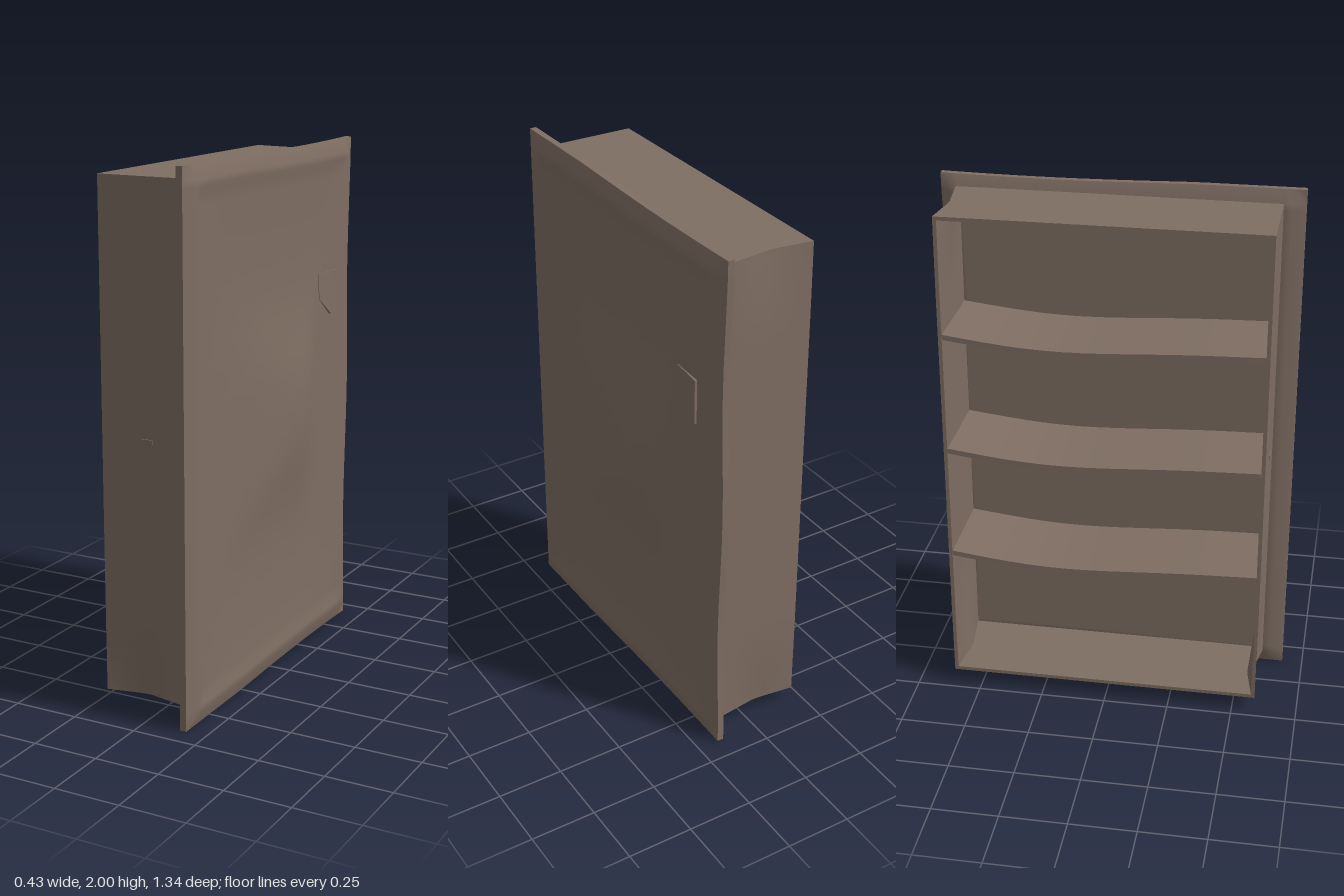
import * as THREE from 'three';
import { toCreasedNormals } from 'three/addons/utils/BufferGeometryUtils.js';

const wood = new THREE.MeshStandardMaterial({ color: 0x7f6e63, side: THREE.DoubleSide });
wood.name = 'brown wood';

// Piecewise-linear lookup through [position, value] pairs
function ramp(points, t) {
  if (t <= points[0][0]) return points[0][1];
  for (let i = 1; i < points.length; i++) {
    const [a, va] = points[i - 1], [b, vb] = points[i];
    if (t <= b) return va + ((vb - va) * (t - a)) / (b - a);
  }
  return points[points.length - 1][1];
}

// Surface through a grid of points
function surface(us, vs, point) {
  const pos = [], index = [], n = vs.length;
  us.forEach((u) => vs.forEach((v) => pos.push(...point(u, v))));
  for (let i = 0; i < us.length - 1; i++) {
    for (let j = 0; j < n - 1; j++) {
      const a = i * n + j;
      index.push(a, a + 1, a + n, a + 1, a + n + 1, a + n);
    }
  }
  const g = new THREE.BufferGeometry();
  g.setAttribute('position', new THREE.Float32BufferAttribute(pos, 3));
  g.setIndex(index);
  g.computeVertexNormals();
  return g;
}

function move(geometry, rule) {
  const p = geometry.attributes.position;
  for (let i = 0; i < p.count; i++) p.setXYZ(i, ...rule(p.getX(i), p.getY(i), p.getZ(i)));
  geometry.computeVertexNormals();
  return geometry;
}

export function createModel() {
  const group = new THREE.Group();
  const add = (name, geometry, x = 0, y = 0, z = 0) => {
    const mesh = new THREE.Mesh(geometry, wood);
    mesh.name = name;
    mesh.position.set(x, y, z);
    group.add(mesh);
    return mesh;
  };

  // Backing panel: tapered rim, shallow dish and an off-centre swelling
  const H = 2, W = 0.67;
  const steps = (a, b) => {
    const inner = Array.from({ length: 15 }, (_, i) => a + 0.14 + ((b - a - 0.28) * i) / 14);
    return [a, a + 0.05, a + 0.075, a + 0.1, ...inner, b - 0.1, b - 0.075, b - 0.05, b];
  };
  const ys = steps(0, H), zs = steps(-W, W);
  const outerProfile = [[0, 0.17], [0.05, 0.187], [0.075, 0.187], [0.1, 0.18], [0.3, 0.172]];
  const innerProfile = [[0, 0.145], [0.05, 0.127], [0.1, 0.127]];
  const edgeDistance = (y, z) => Math.min(y, H - y, W - z, W + z);
  const warp = (x, y, z) => [
    x,
    y + (1 - y) * 0.01 * Math.max(0, Math.cos((z + 0.3) * 2.8)),
    z + (z < 0 ? 0.015 * (-z / W) * Math.sin(y * Math.PI) ** 2 : 0),
  ];
  const swelling = (y, z) => {
    const a = 1 - Math.max(0, Math.abs(y - 1) - 0.07) / 0.35;
    const b = z < -0.2 ? 1 + (z + 0.2) / 0.16 : 1 - (z + 0.2) / 0.65;
    return 0.05 * Math.max(0, Math.min(a, b));
  };
  add('panelOuterFace', surface(ys, zs, (y, z) =>
    warp(ramp(outerProfile, edgeDistance(y, z)) + swelling(y, z), y, z)));
  add('panelInnerFace', surface(ys, zs, (y, z) =>
    warp(ramp(innerProfile, edgeDistance(y, z)), y, z)));
  for (const y of [0, H]) {
    add(y ? 'panelTopEdge' : 'panelBottomEdge', surface([0.145, 0.17], zs, (x, z) => warp(x, y, z)));
  }
  for (const z of [-W, W]) {
    add(z > 0 ? 'panelFrontEdge' : 'panelRearEdge', surface([0.145, 0.17], ys, (x, y) => warp(x, y, z)));
  }

  // Case walls, pinched inward midway along their depth
  const pinch = (x) => Math.max(0, 1 - Math.abs(x + 0.05) / 0.17);
  const T = 0.014, X0 = -0.21, D = 0.34, CX = X0 + D / 2;
  const nearBottom = (y) => Math.max(0, 1 - (y - 0.055) / 0.3);
  const nearTop = (y) => Math.max(0, 1 - (1.95 - y) / 0.25);
  const dent = (x, y, z) => {
    const p = pinch(x), end = Math.max(nearBottom(y), nearTop(y));
    if (z > 0.5) z -= 0.035 * p * nearBottom(y);
    if (z < -0.5) z += 0.022 * p * end;
    return [x, y, z];
  };
  const wall = (name, h, d, y, z) => {
    const g = new THREE.BoxGeometry(D, h, d, 8, h > 1 ? 20 : 1, d > 1 ? 12 : 1);
    g.translate(CX, y, z);
    add(name, toCreasedNormals(move(g, dent), 0.6));
  };
  wall('caseTop', T, 1.2, 1.95 - T / 2, -0.01);
  wall('caseBottom', T, 1.2, 0.055 + T / 2, -0.01);
  wall('caseFrontWall', 1.895, T, 1.0025, 0.59 - T / 2);
  wall('caseRearWall', 1.895, T, 1.0025, -0.61 + T / 2);

  // Three sagging shelves
  for (const y of [0.58, 1.02, 1.48]) {
    const g = new THREE.BoxGeometry(D, 0.02, 1.17, 4, 1, 16);
    move(g, (px, py, pz) => [
      px - 0.006 * Math.cos(pz * 2.6),
      py + 0.012 - 0.028 * Math.cos(pz * 2.6) + 0.008 * Math.sin(pz * 6),
      pz,
    ]);
    add('shelf', toCreasedNormals(g, 0.6), CX, y, -0.01);
  }
  add('shelfPeg', new THREE.BoxGeometry(0.05, 0.015, 0.012), -0.025, 1.025, 0.588);

  // Small faceted catch on the panel face
  const outline = [[0.38, 1.49], [0.385, 1.39], [0.47, 1.32], [0.51, 1.32], [0.51, 1.49]];
  const shape = new THREE.Shape(outline.map(([a, b]) => new THREE.Vector2(a, b)));
  const latch = new THREE.ExtrudeGeometry(shape, { depth: 0.03, bevelEnabled: false });
  latch.rotateY(Math.PI / 2);
  move(latch, (x, y, z) => [x > 0.01 && z > -0.45 ? 0.018 : x, y, z]);
  add('catch', toCreasedNormals(latch, 0.3), 0.157, 0, 0);

  return group;
}
